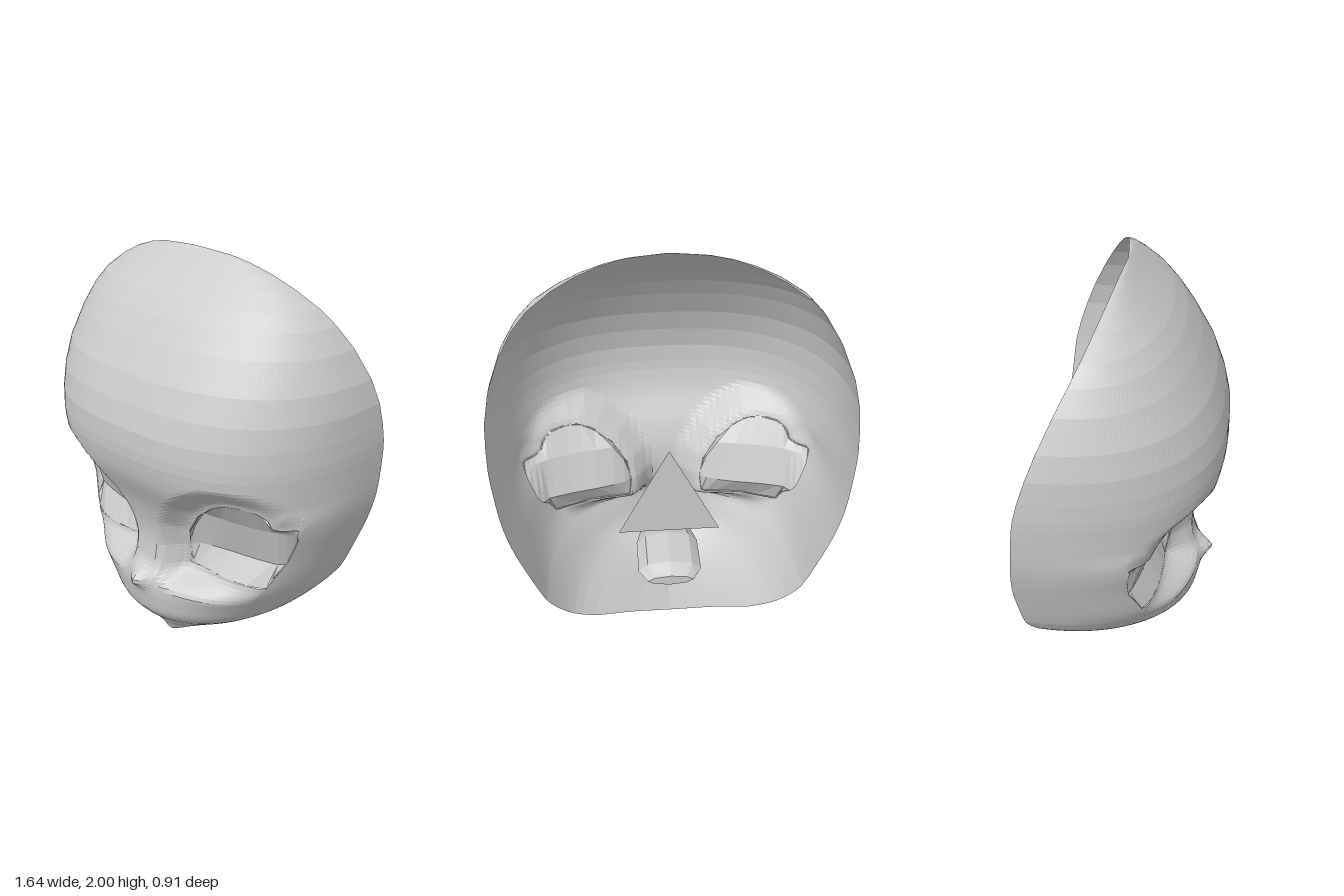
import * as THREE from 'three';

const skin = new THREE.MeshStandardMaterial({ color: 0xcccccc, flatShading: true, side: THREE.DoubleSide });
skin.name = 'pale grey';

// Profiles by height: [y, value]
const WIDTH = [[0, 0], [0.02, 0.12], [0.05, 0.22], [0.13, 0.41], [0.2, 0.505], [0.36, 0.605], [0.6, 0.7], [0.85, 0.78], [1.1, 0.815],
  [1.25, 0.822], [1.44, 0.81], [1.64, 0.74], [1.81, 0.61], [1.93, 0.4], [1.985, 0.2], [2, 0]];
const FRONT = [[0, 0.1], [0.015, 0.15], [0.05, 0.17], [0.12, 0.22], [0.2, 0.3], [0.25, 0.33], [0.32, 0.335], [0.45, 0.332],
  [0.55, 0.312], [0.7, 0.31], [0.85, 0.35], [1, 0.42], [1.08, 0.444], [1.15, 0.455], [1.27, 0.455], [1.38, 0.43], [1.5, 0.385],
  [1.65, 0.3], [1.79, 0.2], [1.93, 0.053], [2, -0.02]];
const RIM = [[0, -0.225], [0.05, -0.27], [0.13, -0.35], [0.33, -0.43], [0.6, -0.455], [0.75, -0.455], [1, -0.43],
  [1.2, -0.4], [1.44, -0.32], [1.64, -0.23], [1.81, -0.14], [1.93, -0.075], [1.985, -0.04], [2, -0.02]];
const ROUNDNESS = [[0, 1.9], [0.2, 2.05], [0.35, 2.45], [0.52, 3.2], [0.7, 3.3], [0.87, 3.3], [0.98, 2.8], [1.2, 2.6], [1.6, 2.4], [2, 2]];

// Eye opening, seen from the front, as an upper and a lower edge
const LID_TOP = [[0.18, 0.62], [0.2, 0.72], [0.27, 0.83], [0.36, 0.91], [0.43, 0.95], [0.5, 0.96], [0.58, 0.95],
  [0.62, 0.92], [0.635, 0.87], [0.67, 0.86], [0.72, 0.87]];
const LID_BOTTOM = [[0.18, 0.62], [0.19, 0.53], [0.24, 0.525], [0.4, 0.515], [0.58, 0.51], [0.6, 0.55],
  [0.66, 0.67], [0.71, 0.8], [0.72, 0.87]];
const EYE = [...LID_TOP, ...LID_BOTTOM.slice(1, -1).reverse()];
const MOUTH = [[-0.05, 0.205], [-0.03, 0.228], [0, 0.236], [0.03, 0.228], [0.05, 0.205], [0, 0.212]];

const { clamp, lerp, smoothstep } = THREE.MathUtils;

function segment(table, t) {
  let i = 1;
  while (i < table.length - 1 && t > table[i][0]) i++;
  return [i, clamp((t - table[i - 1][0]) / (table[i][0] - table[i - 1][0]), 0, 1)];
}

// Straight-line lookup
function at(table, t) {
  const [i, u] = segment(table, t);
  return lerp(table[i - 1][1], table[i][1], u);
}

// Smooth lookup
function smooth(table, t) {
  const [i, u] = segment(table, t);
  const slope = k => {
    const a = table[Math.max(0, k - 1)], b = table[Math.min(table.length - 1, k + 1)];
    return (b[1] - a[1]) / (b[0] - a[0]);
  };
  const [a, va] = table[i - 1], [b, vb] = table[i], d = b - a;
  const s = u * u * (3 - 2 * u);
  return lerp(va, vb, s) + d * u * (1 - u) * ((1 - u) * slope(i - 1) - u * slope(i));
}

function inside(poly, x, y) {
  let hit = false;
  poly.forEach(([x1, y1], i) => {
    const [x2, y2] = poly[(i + 1) % poly.length];
    if ((y1 > y) !== (y2 > y) && x < x1 + (x2 - x1) * (y - y1) / (y2 - y1)) hit = !hit;
  });
  return hit;
}

// Closest outline point and its distance: [x, y, d]
function nearestOnEdge(poly, x, y) {
  let best = [x, y, Infinity];
  poly.forEach(([x1, y1], i) => {
    const [x2, y2] = poly[(i + 1) % poly.length];
    const dx = x2 - x1, dy = y2 - y1;
    const t = clamp(((x - x1) * dx + (y - y1) * dy) / (dx * dx + dy * dy), 0, 1);
    const px = x1 + dx * t, py = y1 + dy * t, d = Math.hypot(px - x, py - y);
    if (d < best[2]) best = [px, py, d];
  });
  return best;
}

// Share of the front-to-rim depth left at fraction f of the half width
const bow = (f, y) => {
  const n = smooth(ROUNDNESS, y);
  return Math.pow(Math.max(0, 1 - Math.pow(Math.min(1, Math.abs(f)), n)), 1 / n);
};

const bump = (x, y, cx, cy, sx, sy) => Math.exp(-(((x - cx) / sx) ** 2) - ((y - cy) / sy) ** 2);

// Sunken, forward-leaning surface that carries the eye openings
const eyeZ = (x, y) => 0.18 + 0.19 * (y - 0.52) - 0.18 * (Math.max(0, x - 0.18) / 0.54) ** 3.5;

// Bowed surface with nose and muzzle, sinking towards the eyes
function depth(x, y, h) {
  const rim = smooth(RIM, y), ax = Math.abs(x);
  const base = rim + (smooth(FRONT, y) - rim) * h
    + 0.062 * bump(x, y, 0, 0.435, 0.05, 0.045) + 0.025 * bump(x, y, 0, 0.38, 0.15, 0.1);
  const far = inside(EYE, ax, y) ? 0 : nearestOnEdge(EYE, ax, y)[2];
  return base - (1 - smoothstep(far, 0, 0.13)) * Math.max(0, base - eyeZ(ax, y));
}
const faceZ = (x, y) => depth(x, y, bow(x / Math.max(smooth(WIDTH, y), 1e-4), y));

// Surface from rows of points; skip(r, c) leaves a cell open
function gridGeometry(rows, skip = () => false) {
  const cols = rows[0].length, index = [];
  for (let r = 0; r < rows.length - 1; r++) {
    for (let c = 0; c < cols - 1; c++) {
      if (skip(r, c)) continue;
      const a = r * cols + c, b = a + 1, d = a + cols, e = d + 1;
      index.push(a, b, e, a, e, d);
    }
  }
  const g = new THREE.BufferGeometry();
  g.setAttribute('position', new THREE.Float32BufferAttribute(rows.flat(2), 3));
  g.setIndex(index);
  g.computeVertexNormals();
  return g;
}

function part(name, geometry) {
  const m = new THREE.Mesh(geometry, skin);
  m.name = name;
  return m;
}

// Open face shell with eye and mouth openings
function faceShell() {
  const ys = [0, 0.015, 0.03, 0.05, 0.08, 0.12, 0.16, 0.19, 0.203, 0.211, 0.219, 0.227, 0.24, 0.26];
  for (let y = 0.28; y < 1.1; y += 0.02) ys.push(y);
  ys.push(1.13, 1.18, 1.27, 1.38, 1.5, 1.64, 1.74, 1.81, 1.88, 1.93, 1.965, 1.985, 1.995, 2);
  const N = 88;
  const rows = ys.map(y => Array.from({ length: N + 1 }, (_, i) => {
    const t = 2 * i / N - 1;
    const f = Math.sin(Math.PI / 2 * (1.25 * t - 0.25 * t ** 3));
    const h = bow(f, y), x = f * smooth(WIDTH, y);
    const keel = 0.055 * Math.max(0, 1 - (y / 0.4) ** 2) * (1 - h);
    return [x, y + keel, depth(x, y, h)];
  }));
  const holes = [EYE, EYE.map(([x, y]) => [-x, y]), MOUTH];
  const cut = rows.map(row => row.map(([x, y]) => holes.findIndex(p => inside(p, x, y))));
  // Pull the border of each opening onto its outline
  rows.forEach((row, r) => row.forEach((p, c) => {
    if (cut[r][c] < 0) return;
    const near = [-1, 0, 1].some(i => [-1, 0, 1].some(j => cut[r + i][c + j] < 0));
    if (!near) return;
    const [x, y] = nearestOnEdge(holes[cut[r][c]], p[0], p[1]);
    p[0] = x; p[1] = y; p[2] = faceZ(x, y);
  }));
  return gridGeometry(rows, (r, c) =>
    cut[r][c] >= 0 && cut[r][c + 1] >= 0 && cut[r + 1][c] >= 0 && cut[r + 1][c + 1] >= 0);
}

// Faceted cup behind an eye opening: a back panel leaning forward, joined to both lids
function eyeSocket(side) {
  const xs = [0.18, 0.19, 0.215, 0.27, 0.36, 0.43, 0.5, 0.58, 0.605, 0.635, 0.66, 0.69, 0.71, 0.72];
  const rows = [[0, 0], [0.63, 0.09], [0.83, 0.06], [2, 0]];
  return gridGeometry(rows.map(([level, sink]) => xs.map(x => {
    const y = clamp(level, at(LID_BOTTOM, x), at(LID_TOP, x));
    const taper = Math.sqrt(Math.max(0, Math.sin(Math.PI * (x - 0.18) / 0.54)));
    return [side * x, y, faceZ(x, y) - sink * taper];
  })));
}

// Thin edge round an eye opening
function eyelid(side) {
  const path = new THREE.CurvePath();
  const pts = EYE.map(([x, y]) => new THREE.Vector3(side * x, y, faceZ(x, y) - 0.003));
  pts.forEach((p, i) => path.add(new THREE.LineCurve3(p, pts[(i + 1) % pts.length])));
  return new THREE.TubeGeometry(path, 80, 0.004, 4, true);
}

// Pouch behind the lips: [z, half width, middle height, half height]
function mouthPouch() {
  const sections = [[0.305, 0.05, 0.218, 0.014], [0.24, 0.13, 0.23, 0.05], [0.1, 0.165, 0.24, 0.07],
    [-0.11, 0.165, 0.235, 0.06], [-0.18, 0.12, 0.225, 0.03], [-0.18, 0, 0.225, 0]];
  return gridGeometry(sections.map(([z, w, y, h]) => Array.from({ length: 9 }, (_, i) => {
    const a = i * Math.PI / 4;
    return [w * Math.cos(a), y + h * Math.sin(a), z];
  })));
}

export function createModel() {
  const model = new THREE.Group();
  model.name = 'faceMask';
  model.add(part('faceShell', faceShell()));
  for (const [side, label] of [[1, 'left'], [-1, 'right']]) {
    model.add(part(label + 'EyeSocket', eyeSocket(side)), part(label + 'Eyelid', eyelid(side)));
  }
  model.add(part('mouthPouch', mouthPouch()));

  // Loose upright triangle inside the shell
  const triangle = new THREE.Shape([new THREE.Vector2(-0.26, 0.47), new THREE.Vector2(0.26, 0.47), new THREE.Vector2(0, 0.98)]);
  const plate = part('innerTriangle', new THREE.ShapeGeometry(triangle));
  plate.position.z = -0.06;
  model.add(plate);
  return model;
}
